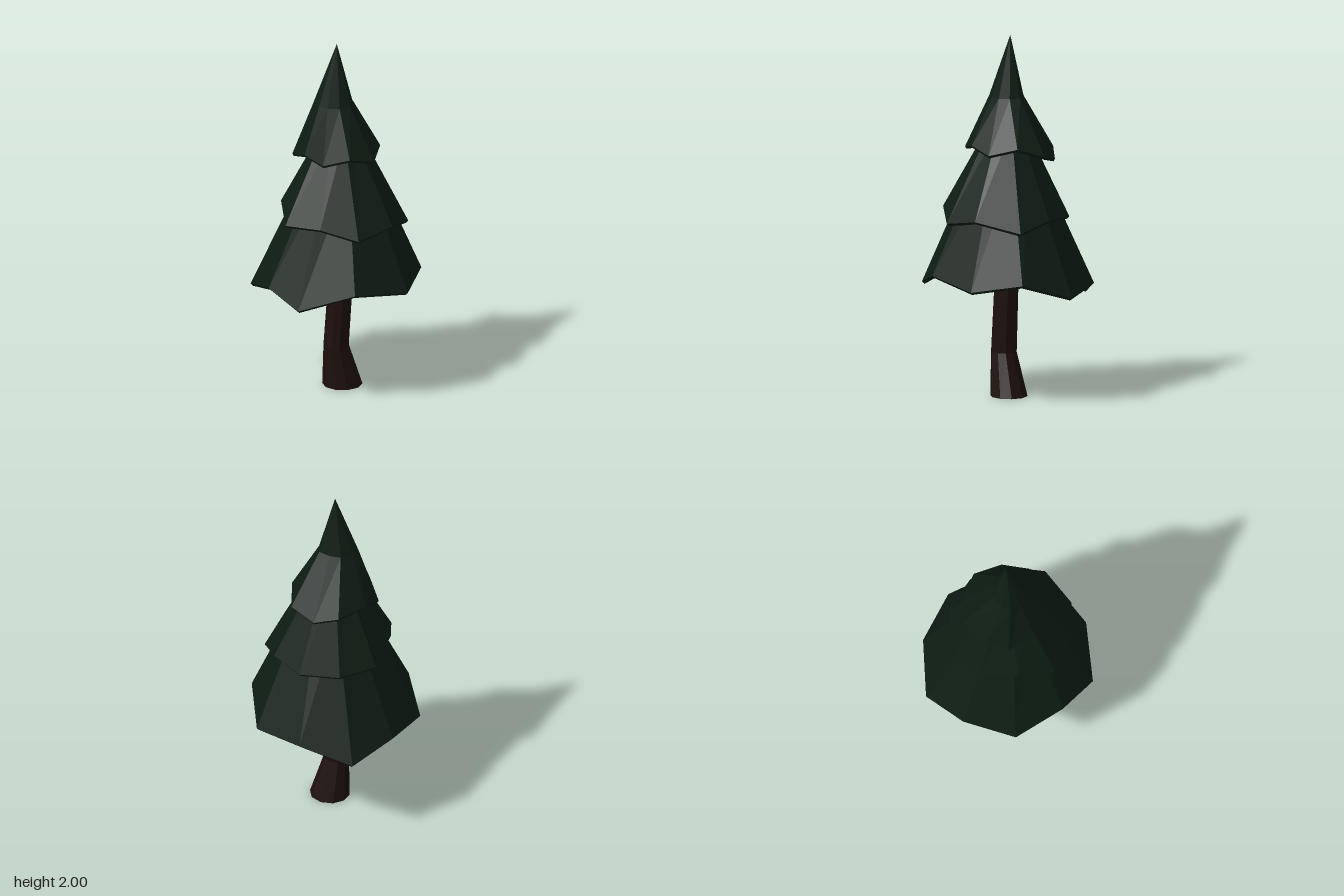
import * as THREE from 'three';

// Skin closed rings of [x, y, z] points, listed along the profile, with flat facets.
function loft(rings, color, name) {
  const pos = [];
  for (let i = 0; i < rings.length - 1; i++) {
    const lo = rings[i], hi = rings[i + 1], n = lo.length;
    for (let j = 0; j < n; j++) {
      const k = (j + 1) % n;
      pos.push(...lo[j], ...lo[k], ...hi[k], ...lo[j], ...hi[k], ...hi[j]);
    }
  }
  const geo = new THREE.BufferGeometry();
  geo.setAttribute('position', new THREE.Float32BufferAttribute(pos, 3));
  geo.computeVertexNormals();
  const mesh = new THREE.Mesh(geo, new THREE.MeshStandardMaterial({ color, flatShading: true }));
  mesh.name = name;
  return mesh;
}

const oval = (cx, y, cz, rx, rz, n = 10) => Array.from({ length: n }, (_, i) => {
  const a = (i / n) * Math.PI * 2;
  return [cx + rx * Math.cos(a), y, cz - rz * Math.sin(a)];
});

// Shrink a rim toward the middle and put it at a level height.
const shrink = (rim, sx, sz, y, cx, cz) => rim.map(([x, , z]) => [x * sx + cx, y, z * sz + cz]);

const GREEN = 0x0d1c13, BROWN = 0x1d0f0b;

// Ragged rims, from +x round by the back
const lowerRim = [
  [0.465, 0.69, -0.005], [0.385, 0.6, -0.29], [0.12, 0.63, -0.45], [-0.175, 0.538, -0.458],
  [-0.365, 0.615, -0.27], [-0.467, 0.58, 0.01], [-0.355, 0.665, 0.275], [-0.185, 0.605, 0.455],
  [0.125, 0.695, 0.443], [0.405, 0.65, 0.27],
];
const middleRim = [
  [0.393, 0.965, -0.005], [0.31, 1.02, -0.175], [0.145, 1.01, -0.31], [-0.075, 1.005, -0.295],
  [-0.255, 1.015, -0.175], [-0.3, 1.085, 0.035], [-0.265, 1.02, 0.24], [-0.07, 1.045, 0.355],
  [0.14, 0.985, 0.365], [0.32, 1.025, 0.235],
];
const upperRim = [
  [0.24, 1.405, -0.01], [0.217, 1.355, -0.165], [0.08, 1.318, -0.24], [-0.06, 1.365, -0.25],
  [-0.19, 1.385, -0.13], [-0.24, 1.345, -0.01], [-0.165, 1.395, 0.13], [-0.06, 1.375, 0.235],
  [0.085, 1.405, 0.22], [0.215, 1.37, 0.145],
];

// Hollow skirt: inside wall, bevelled lip, then the outside rings
function skirt(rim, outer, name) {
  const lip = rim.map(([x, y, z]) => [x * 0.97, y - 0.014, z * 0.97]);
  const top = outer[0].map(([x, y, z]) => [x * 0.9, y - 0.03, z * 0.9]);
  return loft([top, lip, rim, ...outer], GREEN, name);
}

export function createModel() {
  const tree = new THREE.Group();
  tree.name = 'pineTree';

  // Crooked trunk with a flared foot
  tree.add(loft([
    oval(0.034, 0, 0.007, 0, 0),
    oval(0.034, 0, 0.007, 0.11, 0.103),
    oval(0.001, 0.24, 0.03, 0.069, 0.071),
    oval(0.029, 0.68, 0.018, 0.067, 0.066),
    oval(0.035, 1.0, 0.012, 0.06, 0.058),
    oval(0.035, 1.0, 0.012, 0, 0),
  ], BROWN, 'trunk'));

  // Foliage tiers
  tree.add(skirt(lowerRim, [shrink(lowerRim, 0.37, 0.37, 1.3, 0.03, 0.015)], 'lowerFoliage'));
  tree.add(skirt(middleRim, [shrink(middleRim, 0.29, 0.29, 1.5, 0.01, 0.007)], 'middleFoliage'));
  tree.add(skirt(upperRim, [
    shrink(upperRim, 0.45, 0.38, 1.66, -0.015, 0.015),
    shrink(upperRim, 0, 0, 2, 0.003, -0.005),
  ], 'upperFoliage'));

  return tree;
}
